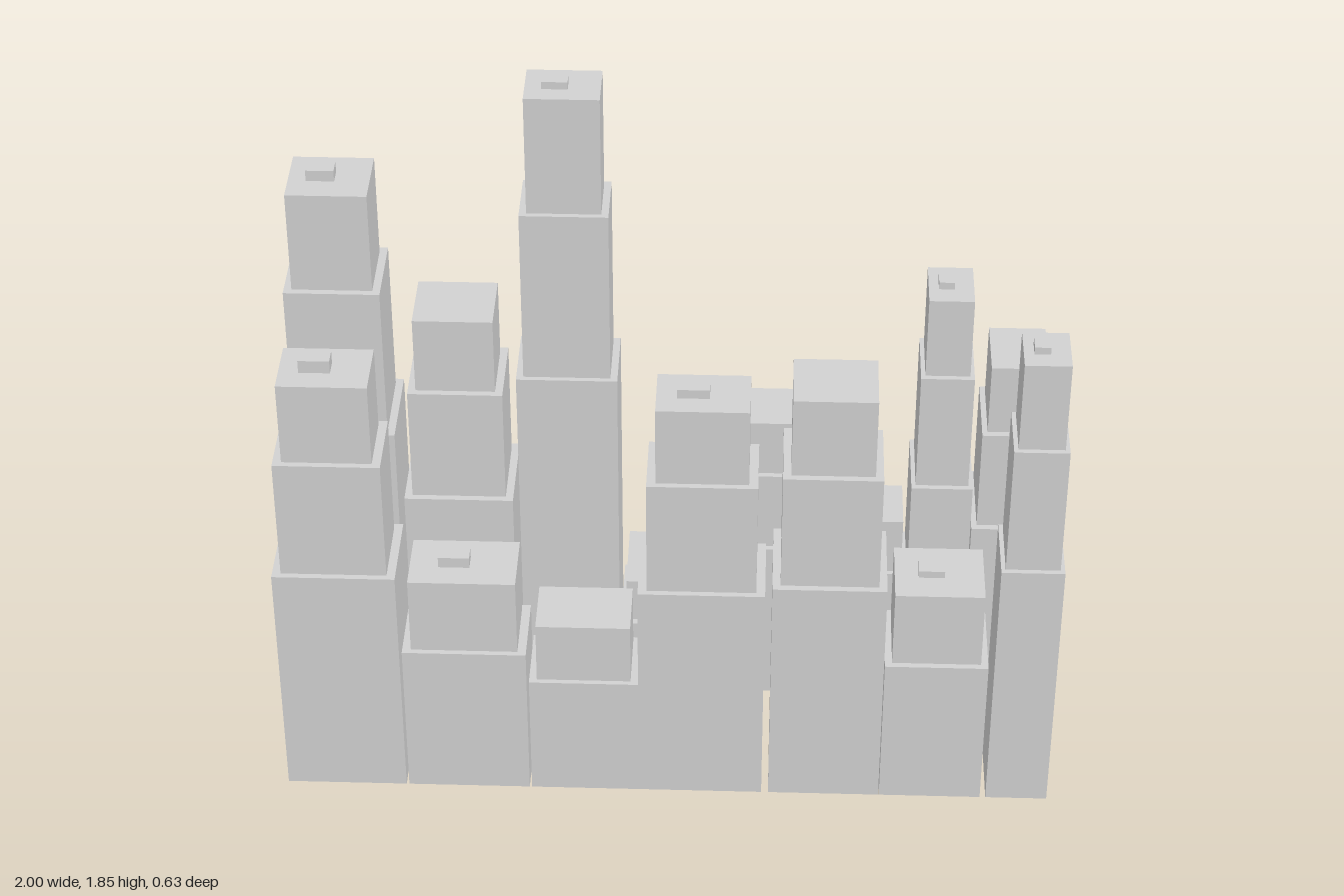
import * as THREE from 'three';

const stone = new THREE.MeshStandardMaterial({ color: 0xd1d1d1, side: THREE.DoubleSide });
stone.name = 'lightGrey';

// outer wall line of both rows
const EDGE = 0.315;

// x from, x to, inner wall distance from the centre, tier tops, roof unit top (0 = none)
const backRow = [
  [-1.0, -0.716, 0.062, [0.865, 1.29, 1.57], 1.6],
  [-0.7, -0.415, 0.062, [0.66, 0.985, 1.2], 0],
  [-0.402, -0.141, 0.118, [1.01, 1.5, 1.83], 1.85],
  [-0.135, 0.07, 0.062, [0.255, 0.385], 0],
  [0.08, 0.407, 0.096, [0.49, 0.72, 0.88], 0],
  [0.417, 0.626, 0.128, [0.39, 0.556], 0.58],
  [0.626, 0.786, 0.1, [0.7, 1.04, 1.27], 1.29],
  [0.786, 0.988, 0.062, [0.6, 0.89, 1.09], 0],
];
const frontRow = [
  [-1.0, -0.687, 0.085, [0.69, 1.03, 1.26], 1.295],
  [-0.68, -0.361, 0.11, [0.45, 0.67], 0.7],
  [-0.355, -0.073, 0.123, [0.36, 0.535], 0],
  [-0.073, 0.25, 0.096, [0.66, 0.99, 1.21], 1.235],
  [0.268, 0.558, 0.064, [0.685, 1.02, 1.245], 0],
  [0.56, 0.825, 0.085, [0.44, 0.66], 0.68],
  [0.84, 1.0, 0.118, [0.755, 1.12, 1.37], 1.39],
];

// box without a floor, standing between two heights
function block(name, w, d, y0, y1, x, z) {
  const geo = new THREE.BoxGeometry(w, y1 - y0, d);
  const index = Array.from(geo.index.array);
  index.splice(18, 6); // the downward face
  geo.setIndex(index);
  geo.clearGroups();
  const mesh = new THREE.Mesh(geo, stone);
  mesh.name = name;
  mesh.position.set(x, (y0 + y1) / 2, z);
  return mesh;
}

// stepped tower: each tier is narrower by 14% of the base
function tower([x0, x1, inner, tops, roofTop], side) {
  const g = new THREE.Group();
  const w = x1 - x0, d = EDGE - inner;
  const x = (x0 + x1) / 2, z = side * (EDGE + inner) / 2;
  let y = 0;
  tops.forEach((top, i) => {
    const s = 1 - 0.14 * i;
    g.add(block('tier' + (i + 1), w * s, d * s, y, top, x, z));
    y = top;
  });
  // off-centre rooftop unit
  if (roofTop) g.add(block('roofUnit', w * 0.25, 0.045, y, roofTop, x - w * 0.075, z));
  return g;
}

export function createModel() {
  const model = new THREE.Group();
  model.name = 'skyline';
  for (const [name, row, side] of [['backTower', backRow, -1], ['frontTower', frontRow, 1]]) {
    row.forEach((spec, i) => {
      const t = tower(spec, side);
      t.name = name + (i + 1);
      model.add(t);
    });
  }
  return model;
}
